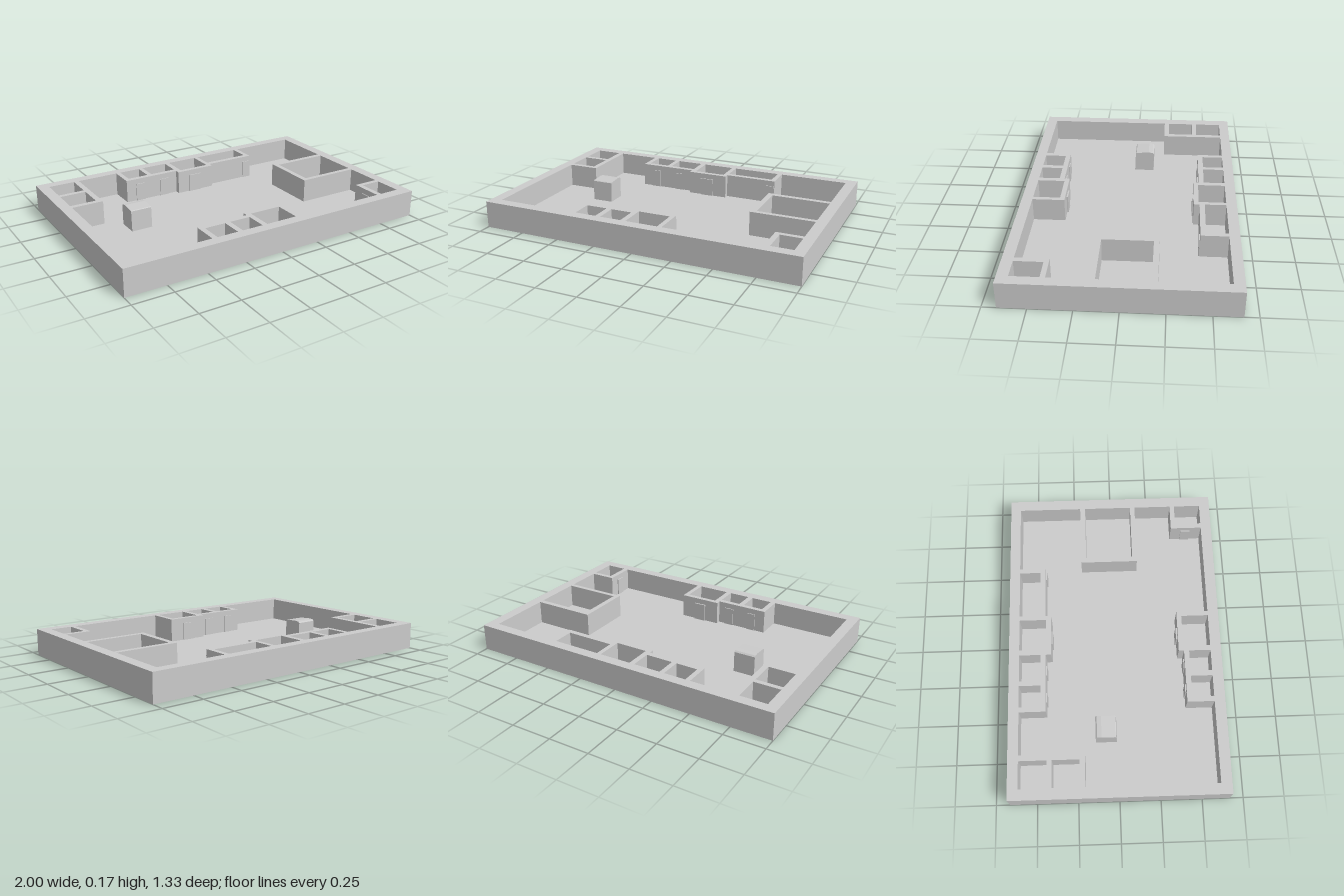
import * as THREE from 'three';

const material = new THREE.MeshStandardMaterial({ color: 0xcccccc, flatShading: true });
const TOP = 0.167, FLOOR = 0.017;

function add(parent, name, geometry, x = 0, y = 0, z = 0) {
  const mesh = new THREE.Mesh(geometry, material);
  mesh.name = name;
  mesh.position.set(x, y, z);
  parent.add(mesh);
  return mesh;
}

// Closed outline from plan points (x, z)
const points = (list) => list.map(([x, z]) => new THREE.Vector2(x, z));
const rect = (x0, x1, z0, z1) => points([[x0, z0], [x1, z0], [x1, z1], [x0, z1]]);

export function createModel() {
  const model = new THREE.Group();

  // Floor slab
  add(model, 'floor', new THREE.BoxGeometry(2, FLOOR, 1.334), 0, FLOOR / 2, 0);

  // Walls: one plan outline with the hall and the small rooms cut out
  const plan = new THREE.Shape(rect(-1, 1, -0.667, 0.667));
  const hall = points([
    [-0.733, -0.603], [-0.467, -0.603], [-0.467, -0.437], [-0.1, -0.437], [-0.1, -0.403],
    [0.163, -0.403], [0.163, -0.437], [0.497, -0.437], [0.497, -0.603], [0.933, -0.603],
    [0.933, -0.203], [0.533, -0.203], [0.533, 0.163], [0.933, 0.163], [0.933, 0.4],
    [0.767, 0.4], [0.767, 0.6], [0.163, 0.6], [0.163, 0.4], [-0.1, 0.4],
    [-0.1, 0.433], [-0.433, 0.433], [-0.433, 0.6], [-0.933, 0.6], [-0.933, -0.203], [-0.733, -0.203],
  ]);
  const rooms = [
    // left corner
    [-0.933, -0.767, -0.603, -0.433], [-0.933, -0.767, -0.403, -0.235],
    // back row
    [-0.437, -0.3, -0.603, -0.47], [-0.27, -0.1, -0.603, -0.47],
    [-0.067, 0.135, -0.603, -0.433], [0.163, 0.467, -0.603, -0.47],
    // large side room and front corner
    [0.567, 0.933, -0.17, 0.133], [0.8, 0.933, 0.43, 0.6],
    // front row
    [-0.4, -0.267, 0.465, 0.6], [-0.233, -0.1, 0.465, 0.6], [-0.067, 0.135, 0.43, 0.6],
  ];
  plan.holes.push(new THREE.Path(hall), ...rooms.map((r) => new THREE.Path(rect(...r))));
  const walls = new THREE.ExtrudeGeometry(plan, { depth: TOP - FLOOR, bevelEnabled: false });
  walls.rotateX(Math.PI / 2);
  add(model, 'walls', walls, 0, TOP, 0);

  // Doors: thin panels standing proud of the walls
  const doors = new THREE.Group();
  doors.name = 'doors';
  model.add(doors);
  const doorHeight = 0.115;
  const doorPlans = [
    [-0.4, -0.34, -0.439, -0.431], [-0.225, -0.163, -0.439, -0.431],
    [-0.018, 0.07, -0.405, -0.396], [0.433, 0.494, -0.439, -0.431],
    [-0.365, -0.308, 0.427, 0.435], [-0.205, -0.145, 0.427, 0.435],
    [-0.008, 0.068, 0.391, 0.402], [0.76, 0.769, 0.467, 0.528],
  ];
  for (const [x0, x1, z0, z1] of doorPlans) {
    add(doors, 'door', new THREE.BoxGeometry(x1 - x0, doorHeight, z1 - z0),
      (x0 + x1) / 2, FLOOR + doorHeight / 2, (z0 + z1) / 2);
  }

  // Freestanding block with a chamfered back edge and slightly sloped top; profile in (z, y)
  const profile = new THREE.Shape(points([
    [-0.136, 0.01], [-0.006, 0.01], [-0.011, 0.146], [-0.016, 0.15],
    [-0.1, 0.156], [-0.127, 0.153], [-0.136, 0.145],
  ]));
  const block = new THREE.ExtrudeGeometry(profile, { depth: 0.134, bevelEnabled: false });
  block.rotateY(-Math.PI / 2);
  add(model, 'block', block, -0.502, 0, 0);

  return model;
}
